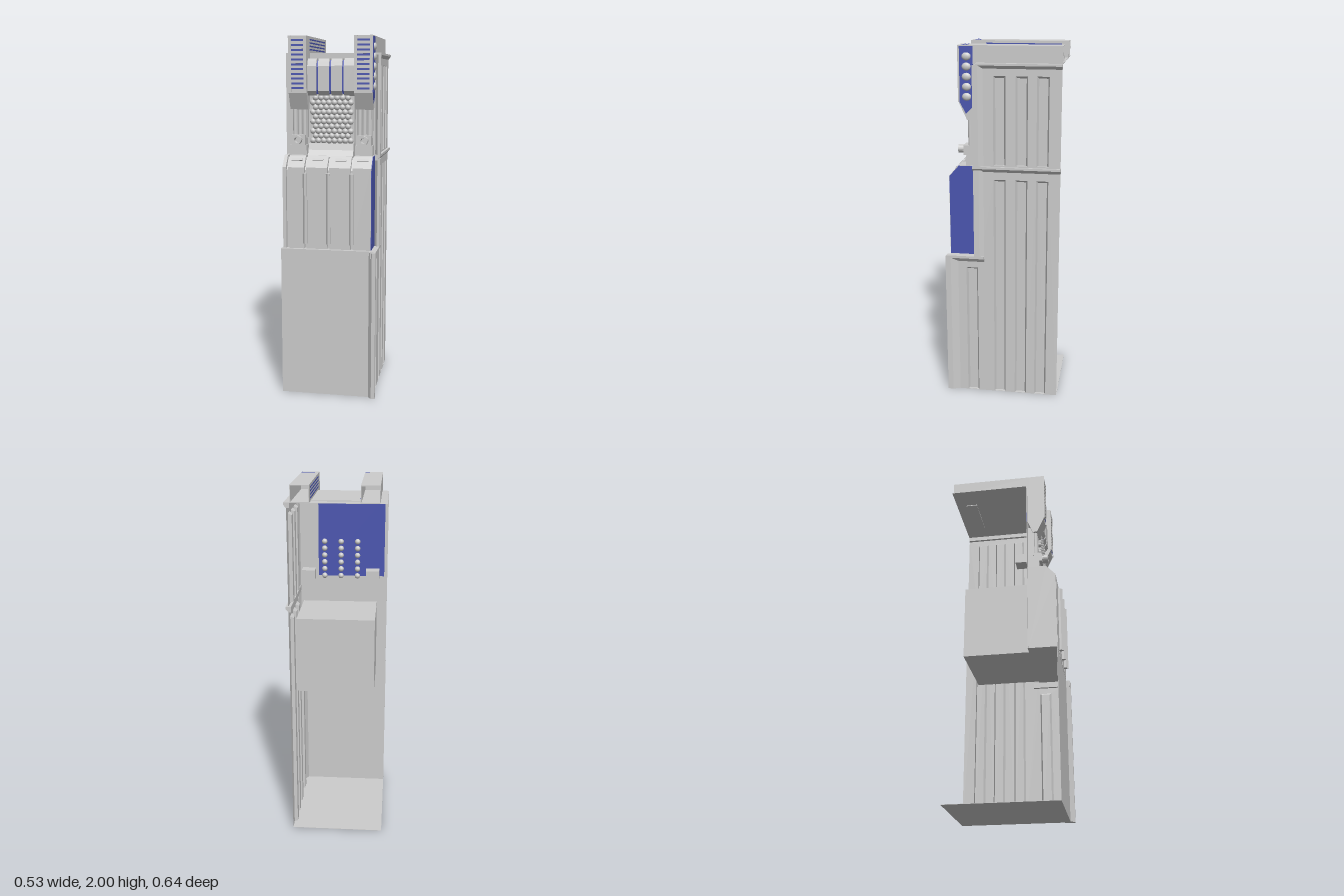
import * as THREE from 'three';

export function createModel() {
  const model = new THREE.Group();
  const grey = new THREE.MeshStandardMaterial({ color: 0xcccccc, flatShading: true, side: THREE.DoubleSide });
  const smooth = new THREE.MeshStandardMaterial({ color: 0xcccccc });
  const blue = new THREE.MeshStandardMaterial({ color: 0x4a55b0 });

  const add = (name, geo, mat = grey) => {
    const m = new THREE.Mesh(geo, mat);
    m.name = name;
    model.add(m);
    return m;
  };
  // box given by its two extreme corners
  const box = (name, x0, x1, y0, y1, z0, z1, mat) => add(name,
    new THREE.BoxGeometry(x1 - x0, y1 - y0, z1 - z0)
      .translate((x0 + x1) / 2, (y0 + y1) / 2, (z0 + z1) / 2), mat);
  const extrude = (pts, depth) => new THREE.ExtrudeGeometry(
    new THREE.Shape(pts.map(p => new THREE.Vector2(p[0], p[1]))), { depth, bevelEnabled: false });
  // (z, y) profile swept along x
  const alongX = (name, pts, x0, x1, mat) =>
    add(name, extrude(pts, x1 - x0).rotateY(-Math.PI / 2).translate(x1, 0, 0), mat);
  // (x, y) profile swept along z
  const alongZ = (name, pts, z0, z1, mat) => add(name, extrude(pts, z1 - z0).translate(0, 0, z0), mat);
  // (x, z) profile swept along y
  const alongY = (name, pts, y0, y1, mat) => add(name,
    extrude(pts.map(p => [p[0], -p[1]]), y1 - y0).rotateX(-Math.PI / 2).translate(0, y0, 0), mat);

  // Thin shell panels
  const L = -0.268, W = 0.25, BACK = -0.32, MID = 0.135, FRONT = 0.295, T = 0.002;
  box('floor', L, W, 0, T, BACK, FRONT);
  box('lowerFrontPanel', L, W, 0, 0.84, FRONT - T, FRONT);
  box('frontLedge', L, W, 0.838, 0.84, MID, FRONT);
  box('innerPanel', L, W, 0.84, 1.91, MID - T, MID);
  box('blueInnerSheet', -0.25, 0.13, 1.42, 1.87, MID - 0.005, MID - T, blue);
  box('ceiling', L, W, 1.908, 1.91, BACK, MID);
  box('ceilingCrossStrip', -0.13, 0.13, 1.903, 1.914, -0.26, -0.195);
  box('coreBox', -0.21, 0.22, 0.84, 1.265, -0.235, 0.155 - 0.022);

  // Corrugated side wall: sheet with holes, each hole backed by a sunken tray
  const wall = new THREE.Shape([[BACK, 0], [0.285, 0], [0.285, 0.83], [0.12, 0.83], [0.12, 1.9], [BACK, 1.9]]
    .map(p => new THREE.Vector2(...p)));
  const grooves = [];
  for (const z of [0.012, -0.108, -0.222]) grooves.push([z, 0.001, 1.285], [z, 1.365, 1.845]);
  grooves.push([0.17, 0.001, 0.77]);
  const ring = (z, y0, y1, x, w) => [[x, y0, z - w], [x, y0, z + w], [x, y1, z + w], [x, y1, z - w]];
  for (const [z, y0, y1] of grooves) {
    const outer = ring(z, y0, y1, W, 0.033);
    wall.holes.push(new THREE.Path(outer.map(p => new THREE.Vector2(p[2], p[1]))));
    const inner = ring(z, y0, y1 - 0.012, W - 0.018, 0.024);
    const tray = new THREE.BufferGeometry();
    tray.setAttribute('position', new THREE.Float32BufferAttribute([...outer, ...inner].flat(), 3));
    const idx = [4, 6, 5, 4, 7, 6];
    for (let i = 0; i < 4; i++) {
      const j = (i + 1) % 4;
      idx.push(i, i + 4, j, j, i + 4, j + 4);
    }
    tray.setIndex(idx);
    tray.computeVertexNormals();
    add('wallGroove', tray);
  }
  add('sideWall', new THREE.ShapeGeometry(wall).rotateY(-Math.PI / 2).translate(W, 0, 0));

  // Flared trims around the wall
  const ledge = (y, h) => [[0.235, y - h], [0.25, y - h], [0.265, y - h * 0.4], [0.265, y], [0.235, y]];
  alongZ('lowerTrim', ledge(0.84, 0.035), 0.1, 0.315);
  alongZ('middleTrim', ledge(1.357, 0.03), BACK, 0.16);
  alongZ('topTrim', ledge(1.91, 0.028), BACK, 0.135);
  alongY('frontCornerTrim',
    [[0.225, 0.295], [0.245, 0.32], [0.265, 0.32], [0.265, 0.29], [0.25, 0.25], [0.245, 0.25]], 0, 0.835);
  for (const [y0, y1] of [[0.84, 1.335], [1.357, 1.9]])
    alongY('upperCornerTrim',
      [[0.235, 0.135], [0.25, 0.155], [0.265, 0.155], [0.265, 0.125], [0.25, 0.1], [0.245, 0.1]], y0, y1);

  // Lower module: four chamfered blocks with gaps, slots and pointed fins
  const block = [[MID, 0.845], [FRONT, 0.845], [FRONT, 1.295], [0.24, 1.355], [MID, 1.355]];
  const edges = [-0.23, -0.128, 0, 0.128, 0.235];
  for (let i = 0; i < 4; i++) {
    const x0 = edges[i] + 0.006, x1 = edges[i + 1] - (i < 3 ? 0.006 : 0);
    alongX('moduleBlock', block, x0, x1);
    const slot = box('moduleSlot', -0.03, 0.03, -0.008, 0.008, -0.003, 0.003);
    slot.position.set((x0 + x1) / 2, 1.335, 0.26);
    slot.rotation.x = -0.83;
  }
  alongX('moduleEndBlock', block, -0.255, -0.236);
  alongX('moduleBackFill', [[MID, 0.845], [0.275, 0.845], [0.275, 1.28], [0.225, 1.345], [MID, 1.345]], -0.25, 0.23);
  alongX('moduleBlueSide', [[0.158, 0.846], [0.293, 0.846], [0.293, 1.294], [0.24, 1.353], [0.158, 1.353]],
    0.235, 0.238, blue);
  for (const x of [-0.128, 0, 0.128])
    alongY('moduleFin', [[x - 0.011, 0.275], [x + 0.011, 0.275], [x + 0.011, 0.307], [x, 0.32], [x - 0.011, 0.307]],
      0.875, 1.265);

  // Saddle between the module and the stud field
  alongX('saddle', [[MID, 1.35], [0.235, 1.35], [0.215, 1.385], [0.205, 1.42], [MID, 1.42]], -0.125, 0.125);

  // Field of round studs on the front, with three columns on the back
  box('studPlate', -0.125, 0.125, 1.4, 1.69, MID, 0.175);
  const stud = (name, x, y, z, r, sx = 1) =>
    add(name, new THREE.SphereGeometry(r, 10, 8), smooth).position.set(x, y, z);
  for (let r = 0; r < 10; r++) {
    const n = r % 2 ? 7 : 8;
    for (let c = 0; c < n; c++) stud('frontStud', (c - (n - 1) / 2) * 0.03, 1.435 + r * 0.026, 0.187, 0.0165);
  }
  for (const x of [-0.095, 0, 0.095])
    for (let i = 0; i < 6; i++) stud('backStud', x, 1.42 + i * 0.04, 0.13, 0.016);

  // Upper grille of four rounded plates with blue gaps
  alongX('grilleCore', [[MID, 1.69], [0.2, 1.69], [0.208, 1.71], [0.208, 1.835], [0.188, 1.87], [MID, 1.87]],
    -0.128, 0.128, blue);
  const plate = [[MID, 1.68], [0.195, 1.68], [0.215, 1.705], [0.215, 1.84], [0.207, 1.862], [0.19, 1.88], [MID, 1.88]];
  const gaps = [-0.135, -0.076, -0.005, 0.066, 0.135];
  for (let i = 0; i < 4; i++) alongX('grillePlate', plate, gaps[i] + 0.005, gaps[i + 1] - 0.005);

  // Mirrored towers: beam, pod, pipes and socket block
  for (const s of [-1, 1]) {
    const cx = s * 0.181, x0 = cx - 0.05, x1 = cx + 0.05;
    // hollow roof beam, open at the rear
    box('beamTop', x0, x1, 1.996, 2, BACK, 0.15);
    box('beamBottom', x0, x1, 1.91, 1.914, BACK, 0.15);
    box('beamSide', x0, x0 + 0.004, 1.912, 1.998, BACK, 0.15);
    box('beamSide', x1 - 0.004, x1, 1.912, 1.998, BACK, 0.15);
    const inner = s < 0 ? x1 : x0;
    for (let i = 0; i < 4; i++)
      box('beamBlueStripe', inner - 0.002, inner + 0.002, 1.925 + i * 0.018, 1.932 + i * 0.018, -0.28, 0.15, blue);
    // pod with sloped foot and slotted face
    alongX('pod', [[MID, 1.68], [0.165, 1.605], [0.19, 1.605], [0.232, 1.695], [0.232, 2], [MID, 2]], x0, x1);
    box('podFrame', x0, cx - 0.034, 1.7, 2, 0.23, 0.238);
    box('podFrame', cx + 0.034, x1, 1.7, 2, 0.23, 0.238);
    for (let i = 0; i < 11; i++) {
      const y = 1.715 + i * 0.0255;
      box('podBlueSlot', cx - 0.034, cx + 0.034, y, y + 0.011, 0.23, 0.234, blue);
      box('podBar', cx - 0.034, cx + 0.034, y + 0.011, y + 0.0255, 0.23, 0.237);
    }
    for (const z of [0.188, 0.206]) box('podTopStripe', cx - 0.049, cx + 0.049, 1.996, 2.0005, z, z + 0.008, blue);
    // three pipes below the pod
    for (const dx of [-0.027, 0, 0.027])
      add('pipe', new THREE.CylinderGeometry(0.012, 0.012, 0.18, 12), smooth).position.set(cx + dx, 1.54, 0.178);
    box('pipeBacking', cx - 0.042, cx + 0.042, 1.45, 1.64, MID, 0.172);
    // socket block, running through the panel to the rear
    const sx = s * 0.184;
    box('socketBlock', sx - 0.038, sx + 0.038, 1.41, 1.465, 0.06, 0.215);
    box('socketFoot', sx - 0.052, sx + 0.045, 1.35, 1.41, MID, 0.2);
    const rim = [[0.015, 0], [0.024, 0], [0.024, 0.035], [0.015, 0.035], [0.013, 0.005], [0, 0.005]]
      .map(p => new THREE.Vector2(...p));
    add('socketRim', new THREE.LatheGeometry(rim, 16).rotateX(Math.PI / 2).translate(sx, 1.44, 0.213));
  }

  // Blue cheek and knobs on the model's left pod
  alongX('podBlueCheek', [[0.155, 1.68], [0.195, 1.64], [0.228, 1.7], [0.228, 1.995], [0.155, 1.995]],
    0.231, 0.234, blue);
  for (let i = 0; i < 5; i++) {
    const g = new THREE.SphereGeometry(0.021, 12, 8).scale(0.6, 1, 1.2);
    add('cheekKnob', g, smooth).position.set(0.234, 1.73 + i * 0.053, 0.19);
  }
  return model;
}
